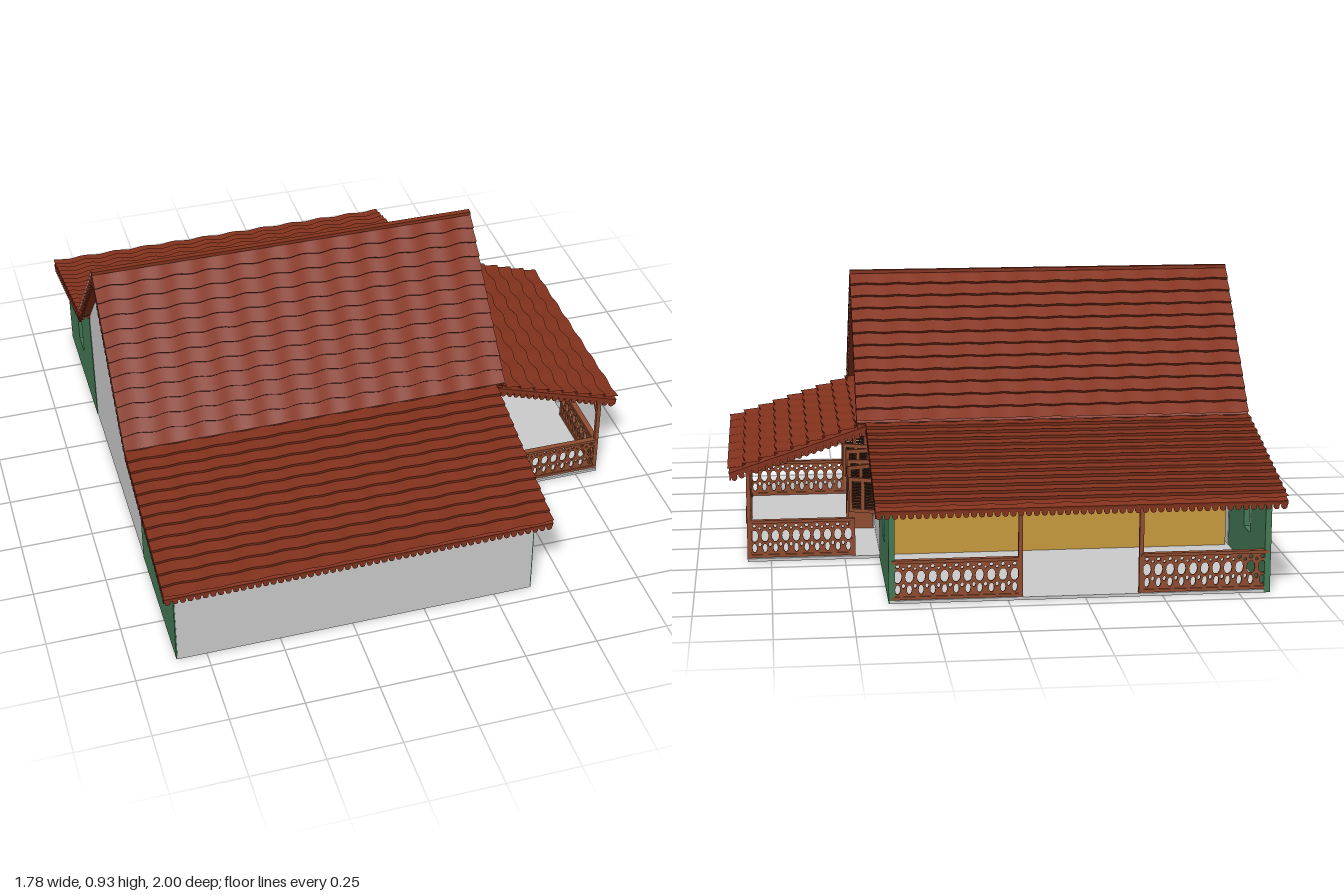
import * as THREE from 'three';
import { toCreasedNormals } from 'three/addons/utils/BufferGeometryUtils.js';

const mat = (color, side = THREE.FrontSide) => new THREE.MeshStandardMaterial({ color, side });
const GREY = mat(0xcccccc), GREEN = mat(0x447a55), YELLOW = mat(0xc79a3c);
const WOOD = mat(0x8f4c30), DARK = mat(0x3c2016), ROOF = mat(0x83321d, THREE.DoubleSide);

function mesh(parent, name, geo, material, x = 0, y = 0, z = 0) {
  const m = new THREE.Mesh(geo, material);
  m.name = name;
  m.position.set(x, y, z);
  parent.add(m);
  return m;
}
const box = (parent, name, material, w, h, d, x, y, z) =>
  mesh(parent, name, new THREE.BoxGeometry(w, h, d), material, x, y, z);
const poly = (pts) => new THREE.Shape(pts.map((p) => new THREE.Vector2(...p)));
const rect = (x0, y0, x1, y1) => poly([[x0, y0], [x1, y0], [x1, y1], [x0, y1]]);
const extrude = (shape, depth, curveSegments = 6) =>
  new THREE.ExtrudeGeometry(shape, { depth, bevelEnabled: false, curveSegments });

// Wall lying across x: shape drawn in (z, y), thickness going towards -x
function crossWall(parent, name, pts, holes, x, material) {
  const s = poly(pts);
  s.holes.push(...holes);
  mesh(parent, name, extrude(s, 0.02, 12), material, x).rotation.y = -Math.PI / 2;
}

function archHole(c) {
  const p = new THREE.Path();
  p.moveTo(c - 0.045, 0.14);
  p.lineTo(c + 0.045, 0.14);
  p.lineTo(c + 0.045, 0.285);
  p.absellipse(c, 0.285, 0.045, 0.028, 0, Math.PI, false);
  p.closePath();
  return p;
}

// Overlapping tile courses: x across, z down the slope, y the surface normal
function tileGeometry(width, length, rows) {
  const waves = Math.round(width / 0.115), cols = waves * 6, pos = [], idx = [];
  for (let r = 0; r < rows; r++) for (let e = 0; e < 2; e++) for (let c = 0; c <= cols; c++) {
    const wave = Math.cos((c / 6) * Math.PI * 2);
    const z = ((r + e) / rows) * length + (r + e === 0 || r + e === rows ? 0 : 0.004 * wave);
    pos.push((c / cols - 0.5) * width, e * 0.011 + 0.003 * (1 + wave), z);
  }
  for (let l = 0; l < rows * 2 - 1; l++) for (let c = 0; c < cols; c++) {
    const a = l * (cols + 1) + c, b = a + cols + 1;
    idx.push(a, b, a + 1, b, b + 1, a + 1);
  }
  const g = new THREE.BufferGeometry();
  g.setAttribute('position', new THREE.Float32BufferAttribute(pos, 3));
  g.setIndex(idx);
  return toCreasedNormals(g, 0.6);
}

// Strip of rounded teeth hanging below y = 0, running from x = 0
function fringeGeometry(length) {
  const n = Math.round(length / 0.025), p = length / n, s = new THREE.Shape();
  s.moveTo(0, 0);
  for (let i = 0; i < n; i++) {
    s.lineTo(i * p, -0.009);
    s.lineTo((i + 0.15) * p, -0.013);
    s.absarc((i + 0.5) * p, -0.016, p * 0.38, Math.PI, Math.PI * 2, false);
    s.lineTo((i + 0.85) * p, -0.013);
    s.lineTo((i + 1) * p, -0.009);
  }
  s.lineTo(length, 0);
  return extrude(s, 0.005, 4);
}

// One roof slope from its top edge, with slab and fringes
function roofSlope(parent, name, [x, y, z], yaw, run, drop, width, rows) {
  const g = new THREE.Group(), a = Math.atan2(drop, run), L = Math.hypot(run, drop);
  g.name = name;
  g.position.set(x, y, z);
  g.rotation.set(a, yaw, 0, 'YXZ');
  mesh(g, 'roofTiles', tileGeometry(width, L, rows), ROOF);
  box(g, 'roofSlab', ROOF, width, 0.012, L, 0, -0.006, L / 2);
  mesh(g, 'eaveFringe', fringeGeometry(width), ROOF, -width / 2, -0.004, L - 0.006).rotation.x = -a;
  for (const s of [-1, 1])
    mesh(g, 'rakeFringe', fringeGeometry(L), ROOF, s * (width / 2 - 0.003) + 0.0025, -0.006, 0)
      .rotation.y = -Math.PI / 2;
  parent.add(g);
}

// Fretwork balustrade between two floor points
function railing(parent, x0, z0, x1, z1) {
  const L = Math.hypot(x1 - x0, z1 - z0), n = Math.round(L / 0.037), p = L / n;
  const g = new THREE.Group(), s = rect(0, 0.015, L, 0.135);
  g.name = 'railing';
  const hole = (cx, cy, rx, ry) => {
    const h = new THREE.Path();
    h.absellipse(cx, cy, rx, ry, 0, Math.PI * 2, true);
    s.holes.push(h);
  };
  for (let i = 0; i < n; i++) {
    const c = (i + 0.5) * p;
    hole(c, 0.086, p * 0.36, 0.021);
    hole(c, 0.044, p * 0.22, 0.016);
    hole(c, 0.121, p * 0.16, 0.006);
    if (i) {
      hole(i * p, 0.056, p * 0.14, 0.008);
      hole(i * p, 0.113, p * 0.12, 0.005);
    }
  }
  mesh(g, 'fretPanel', extrude(s, 0.008, 5), WOOD, 0, 0, -0.004);
  box(g, 'handRail', WOOD, L, 0.01, 0.02, L / 2, 0.137, 0);
  box(g, 'footRail', WOOD, L, 0.01, 0.016, L / 2, 0.017, 0);
  g.position.set(x0, 0, z0);
  g.rotation.y = -Math.atan2(z1 - z0, x1 - x0);
  parent.add(g);
}

// Louvred leaf, hinged at local x = 0; a panel fills it below panelTop
function leaf(parent, name, x, z, yaw, y0, y1, w, panelTop = y0) {
  const g = new THREE.Group(), t = 0.01;
  g.name = name;
  for (const f of [0.06, 0.5, 0.94])
    box(g, 'stile', WOOD, w * 0.12, y1 - y0, t, w * f, (y0 + y1) / 2, 0);
  for (const y of [Math.max(y0, panelTop) + 0.006, y1 - 0.006])
    box(g, 'crossRail', WOOD, w, 0.012, t, w / 2, y, 0);
  if (panelTop > y0) box(g, 'panel', WOOD, w, panelTop - y0, t * 0.9, w / 2, (y0 + panelTop) / 2, 0);
  for (let y = panelTop + 0.018; y < y1 - 0.014; y += 0.011)
    box(g, 'louvre', DARK, w * 0.9, 0.011, 0.002, w / 2, y, 0).rotation.x = -0.5;
  g.position.set(x, 0, z);
  g.rotation.y = yaw;
  parent.add(g);
}

export function createModel() {
  const house = new THREE.Group();
  house.name = 'house';

  // Floors
  box(house, 'floorSlab', GREY, 1.23, 0.01, 1.88, -0.235, 0.005, 0);
  box(house, 'porchFloor', GREY, 0.45, 0.01, 0.85, 0.605, 0.005, 0);

  // Gable walls, the porch one with a doorway and two windows
  const gable = [[-0.42, 0], [0.42, 0], [0.42, 0.45], [0, 0.89], [-0.42, 0.45]];
  crossWall(house, 'rearGableWall', gable, [], -0.83, GREY);
  crossWall(house, 'porchGableWall', gable, [rect(-0.36, 0.14, -0.14, 0.262),
    rect(0.14, 0.14, 0.36, 0.262), rect(-0.085, 0.011, 0.085, 0.275)], 0.38, GREY);

  // Green end walls of the two wings, with arched windows
  for (const s of [-1, 1]) for (const x of [-0.832, 0.382]) {
    const pts = [[0.42, 0], [0.94, 0], [0.94, 0.318], [0.42, 0.452]].map(([z, y]) => [s * z, y]);
    crossWall(house, 'wingEndWall', pts, [archHole(s * 0.685)], x, GREEN);
  }

  // Long walls
  box(house, 'longOuterWall', GREY, 1.226, 0.315, 0.02, -0.235, 0.1575, 0.932);
  box(house, 'wingInnerWall', GREEN, 1.19, 0.44, 0.02, -0.225, 0.22, 0.41);
  box(house, 'verandaInnerWall', YELLOW, 1.19, 0.44, 0.02, -0.225, 0.22, -0.41);

  // Roofs
  for (const [yaw, s] of [[0, 1], [Math.PI, -1]]) {
    roofSlope(house, 'mainRoof', [-0.2175, 0.917, 0], yaw, 0.415, 0.445, 1.345, 12);
    roofSlope(house, 'wingRoof', [-0.2325, 0.468, s * 0.415], yaw, 0.58, 0.148, 1.315, 13);
  }
  box(house, 'ridgeCap', ROOF, 1.345, 0.012, 0.02, -0.2175, 0.924, 0);
  roofSlope(house, 'porchRoof', [0.4, 0.468, 0], Math.PI / 2, 0.487, 0.158, 0.84, 9);

  // Porch posts, braces and railings
  for (const s of [-1, 1]) {
    for (const [z, dirs] of [[0.412, [-1]], [0.095, [1]]]) {
      box(house, 'porchPost', WOOD, 0.014, 0.32, 0.014, 0.823, 0.16, s * z);
      for (const d of dirs) {
        const b = box(house, 'brace', WOOD, 0.009, 0.085, 0.009, 0.823, 0.275, s * (z + d * 0.026));
        b.rotation.x = s * d * 0.72;
      }
    }
    railing(house, 0.823, s * 0.095, 0.823, s * 0.412);
    railing(house, 0.47, s * 0.412, 0.823, s * 0.412);
    box(house, 'railEndPost', WOOD, 0.012, 0.14, 0.012, 0.47, 0.07, s * 0.412);
    box(house, 'wallPlateBeam', WOOD, 0.44, 0.014, 0.012, 0.6, 0.381, s * 0.405).rotation.z = -0.314;

    // Open shutters and door leaves
    leaf(house, 'shutter', 0.385, s * 0.36, s * 0.35, 0.14, 0.262, 0.1);
    leaf(house, 'shutter', 0.385, s * 0.14, -s * 0.35, 0.14, 0.262, 0.1);
    leaf(house, 'doorLeaf', 0.385, s * 0.085, s * 0.12, 0.012, 0.262, 0.09, 0.13);
  }
  box(house, 'porchBeam', WOOD, 0.014, 0.014, 0.83, 0.823, 0.311, 0);

  // Side veranda posts and railings
  for (const x of [0.372, -0.04, -0.43, -0.845])
    box(house, 'verandaPost', WOOD, 0.014, 0.315, 0.014, x, 0.1575, -0.932);
  railing(house, -0.04, -0.932, 0.372, -0.932);
  railing(house, -0.845, -0.932, -0.43, -0.932);
  box(house, 'verandaBeam', WOOD, 1.22, 0.014, 0.014, -0.235, 0.311, -0.932);

  return house;
}
